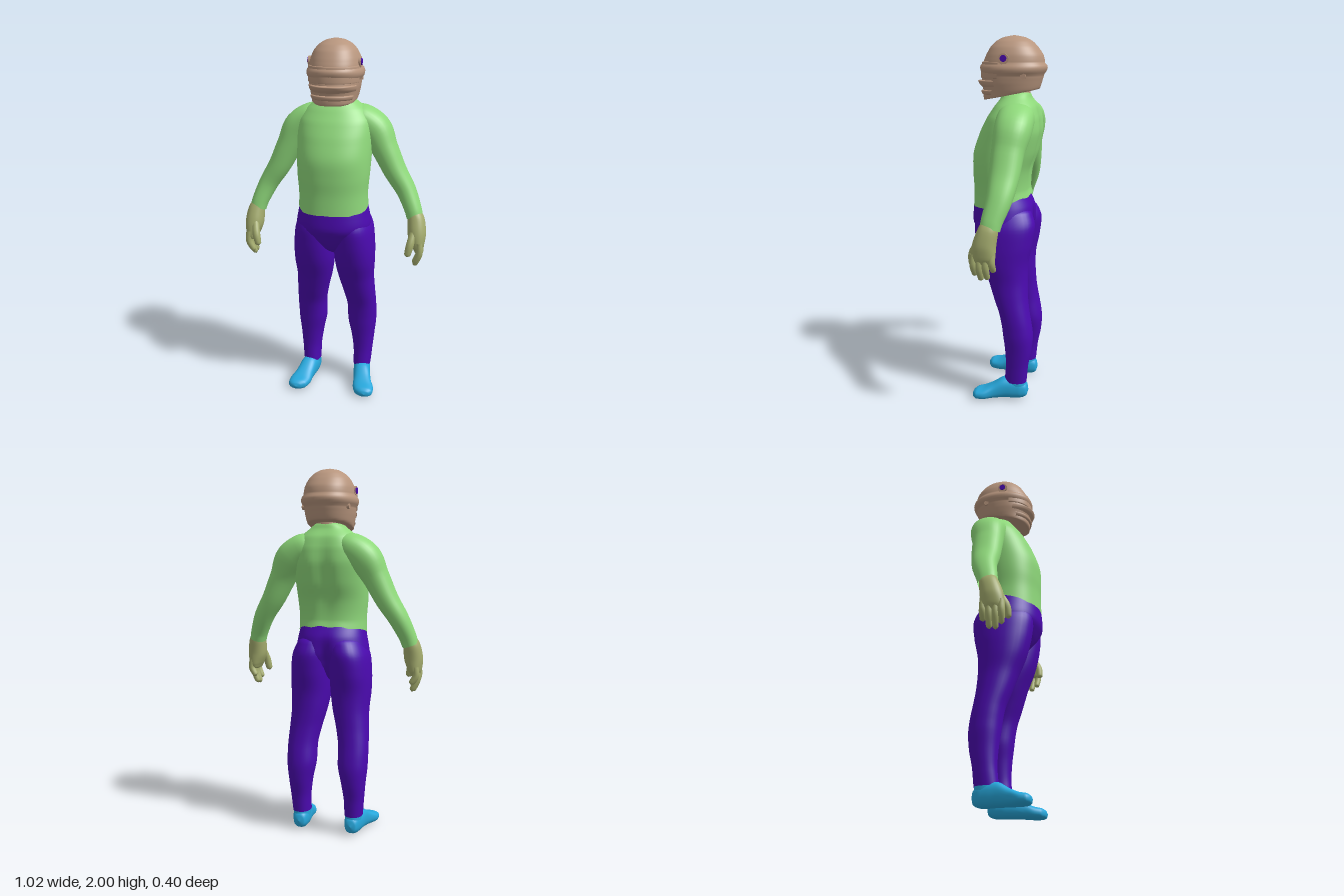
import * as THREE from 'three';

const V = (x, y, z) => new THREE.Vector3(x, y, z);
const Z = V(0, 0, 1), Y = V(0, 1, 0);
const paint = (color) => new THREE.MeshStandardMaterial({ color, side: THREE.DoubleSide });
const shirt = paint(0x8fd97b), pants = paint(0x4b0ab0), shoe = paint(0x27a8dc);
const skin = paint(0xa5ad6f), shell = paint(0xb8967e);

// Smooth skin through rings [x, y, z, width radius, depth radius].
// ref: direction of the depth radius; axis: fixed ring normal (else the path's own);
// n: squareness; arc: part of the ring; warp: moves points; side -1 mirrors in x.
function loft(name, mat, rings, { ref = Z, axis, n = 2.2, seg = 32, per = 5, arc, warp, side = 1 } = {}) {
  const path = new THREE.CatmullRomCurve3(rings.map((r) => V(r[0], r[1], r[2])));
  const radii = new THREE.CatmullRomCurve3(rings.map((r) => V(r[3], r[4], 0)));
  const rows = (rings.length - 1) * per, [a0, a1] = arc || [0, Math.PI * 2];
  const cols = arc ? seg + 1 : seg, pos = [], index = [];
  const power = (c) => Math.sign(c) * Math.abs(c) ** (2 / n);
  for (let i = 0; i <= rows; i++) {
    const p = path.getPoint(i / rows), r = radii.getPoint(i / rows);
    const t = axis || path.getTangent(i / rows);
    const N = t.clone().cross(ref).normalize(), B = N.clone().cross(t);
    for (let j = 0; j < cols; j++) {
      const a = a0 + (a1 - a0) * j / seg;
      const v = p.clone().addScaledVector(N, r.x * power(Math.cos(a))).addScaledVector(B, r.y * power(Math.sin(a)));
      if (warp) warp(v);
      pos.push(v.x * side, v.y, v.z);
      if (i === rows || j === seg) continue;
      const k = (j + 1) % cols, q = i * cols;
      const A = q + j, b = q + k, c = A + cols, d = b + cols;
      if (side > 0) index.push(A, c, b, b, c, d);
      else index.push(A, b, c, b, d, c);
    }
  }
  const g = new THREE.BufferGeometry();
  g.setAttribute('position', new THREE.Float32BufferAttribute(pos, 3));
  g.setIndex(index);
  g.computeVertexNormals();
  const mesh = new THREE.Mesh(g, mat);
  mesh.name = name;
  return mesh;
}

const dent = (x, w) => Math.exp(-((x / w) ** 2));

function torso() {
  return loft('shirt', shirt, [
    [0, 1.1, .03, .189, .159], [0, 1.2, .033, .187, .153], [0, 1.3, .03, .195, .16],
    [0, 1.4, .01, .2, .175], [0, 1.5, -.018, .203, .168], [0, 1.58, -.035, .197, .145],
    [0, 1.64, -.045, .16, .115], [0, 1.68, -.045, .11, .085], [0, 1.71, -.042, .072, .073], [0, 1.715, -.042, .05, .05],
  ], {
    axis: Y, seg: 64,
    warp: (v) => {
      // hem rises toward the back, spine is hollowed
      if (v.y < 1.2) v.y += (1.2 - v.y) * 10 * (.03 - .22 * (v.z - .02) + .004 * Math.sin(v.x * 60));
      if (v.z < 0) v.z += .022 * dent(v.x, .05) * dent(v.y - 1.45, .2);
    },
  });
}

function pelvis() {
  return loft('hips', pants, [
    [0, .83, .01, .001, .001], [0, .88, .015, .06, .09], [0, .95, .015, .165, .145], [0, 1.02, .02, .205, .172],
    [0, 1.1, .023, .192, .166], [0, 1.16, .03, .178, .145], [0, 1.2, .03, .15, .12], [0, 1.21, .03, .001, .001],
  ], {
    axis: Y, seg: 64,
    warp: (v) => { if (v.z < 0) v.z += .035 * dent(v.x, .035) * dent(v.y - .97, .1); },
  });
}

function limbs(side) {
  const g = new THREE.Group();
  g.name = side > 0 ? 'leftLimbs' : 'rightLimbs';
  g.add(loft('sleeve', shirt, [
    [.06, 1.6, -.06, .05, .07], [.13, 1.585, -.065, .078, .098], [.205, 1.53, -.065, .087, .098],
    [.262, 1.43, -.052, .071, .085], [.323, 1.31, -.045, .061, .078], [.385, 1.21, -.035, .053, .066],
    [.43, 1.11, -.008, .046, .055], [.442, 1.07, 0, .044, .052],
  ], { side }));
  g.add(loft('trouserLeg', pants, [
    [.152, .11, -.072, .05, .062], [.155, .2, -.08, .055, .062], [.153, .3, -.087, .067, .074],
    [.148, .4, -.083, .082, .083], [.147, .5, -.067, .083, .083], [.135, .6, -.042, .09, .093],
    [.12, .7, -.022, .1, .108], [.115, .8, -.003, .111, .13], [.112, .9, 0, .113, .153],
    [.105, 1, 0, .109, .165], [.09, 1.08, 0, .09, .14], [.08, 1.13, 0, .03, .05],
  ], { axis: Y, side }));

  // foot with a flat sole, and the ankle inside the trouser cuff
  g.add(loft('foot', shoe, [
    [.15, .06, -.145, .001, .001], [.15, .06, -.135, .03, .035], [.152, .068, -.1, .045, .058],
    [.156, .07, -.05, .05, .062], [.163, .068, -.005, .05, .06], [.175, .051, .05, .052, .044],
    [.188, .038, .1, .06, .033], [.196, .034, .14, .052, .028], [.2, .032, .158, .03, .018], [.201, .032, .166, .001, .001],
  ], { ref: Y, axis: Z, n: 2.4, side, warp: (v) => { v.y = Math.max(v.y, 0); } }));
  g.add(loft('ankle', shoe, [
    [.152, .05, -.075, .045, .06], [.152, .1, -.072, .047, .06], [.152, .14, -.072, .045, .056],
  ], { axis: Y, side }));

  // hand: palm, four fingers, thumb
  g.add(loft('palm', skin, [
    [.435, 1.1, -.003, .035, .045], [.449, 1.06, .008, .046, .052], [.458, .99, .025, .05, .06],
    [.466, .93, .03, .036, .062], [.466, .9, .03, .022, .052], [.465, .89, .03, .001, .001],
  ], { side }));
  const digit = (name, pts, r) => g.add(loft(name, skin, [
    [...pts[0], r, r], [...pts[1], r * 1.05, r * 1.05], [...pts[2], r * .85, r * .85],
    [...pts[2].map((c, i) => c + (pts[2][i] - pts[1][i]) * .2), .001, .001],
  ], { seg: 14, per: 4, n: 2, side }));
  [[.078, .84], [.048, .817], [.016, .822], [-.016, .862]].forEach(([z, tip], i) =>
    digit('finger' + (i + 1), [[.475, .95, z], [.478, (tip + .94) / 2, z], [.455, tip, z - .004]], .0175));
  digit('thumb', [[.442, 1, .06], [.43, .94, .092], [.418, .885, .1]], .02);
  return g;
}

function helmet() {
  const g = new THREE.Group();
  g.name = 'helmet';
  g.add(loft('helmetShell', shell, [
    [0, 1.63, 0, .001, .001], [0, 1.66, .015, .105, .11], [0, 1.72, -.012, .125, .147], [0, 1.76, -.015, .133, .16],
    [0, 1.8, -.024, .137, .162], [0, 1.86, -.028, .137, .162], [0, 1.9, -.032, .13, .15], [0, 1.94, -.03, .112, .125],
    [0, 1.97, -.03, .085, .095], [0, 1.99, -.03, .05, .055], [0, 2, -.03, .001, .001],
  ], { axis: Y, seg: 64, warp: (v) => { v.y = Math.max(v.y, 1.695 - .2 * v.z); } }));
  g.add(loft('visor', shell, [
    [0, 1.782, -.02, .13, .155], [0, 1.784, -.02, .14, .166], [0, 1.82, -.022, .142, .167],
    [0, 1.865, -.027, .1405, .166], [0, 1.868, -.027, .13, .155],
  ], { axis: Y, seg: 48, arc: [.31, Math.PI - .31] }));
  g.add(loft('chinLip', shell, [
    [0, 1.73, -.015, .122, .148], [0, 1.752, -.018, .134, .174], [0, 1.768, -.02, .136, .183], [0, 1.776, -.02, .13, .15],
  ], { axis: Y, seg: 48, arc: [.4, Math.PI - .4] }));
  g.add(loft('chinBar', shell, [
    [0, 1.695, .003, .112, .125], [0, 1.702, .003, .121, .139], [0, 1.718, -.002, .128, .146], [0, 1.724, -.005, .12, .135],
  ], { axis: Y, seg: 48, arc: [.5, Math.PI - .5] }));

  // visor hinges and strap studs on both sides
  const disc = (name, mat, r, len, x, y, z) => {
    const m = new THREE.Mesh(new THREE.CylinderGeometry(r, r, len, 24), mat);
    m.name = name;
    m.rotation.z = Math.PI / 2;
    m.position.set(x, y, z);
    g.add(m);
  };
  for (const s of [1, -1]) {
    disc('hingePlate', shell, .028, .014, s * .131, 1.882, 0);
    disc('hingePin', pants, .017, .02, s * .133, 1.885, 0);
    disc('strapStud', shell, .015, .02, s * .121, 1.797, -.1);
  }
  return g;
}

export function createModel() {
  const model = new THREE.Group();
  model.name = 'helmetedFigure';
  model.add(torso(), pelvis(), limbs(1), limbs(-1), helmet());
  model.add(loft('neck', shell, [
    [0, 1.66, -.045, .075, .078], [0, 1.72, -.043, .066, .07], [0, 1.8, -.04, .065, .07],
  ], { axis: Y }));
  return model;
}
